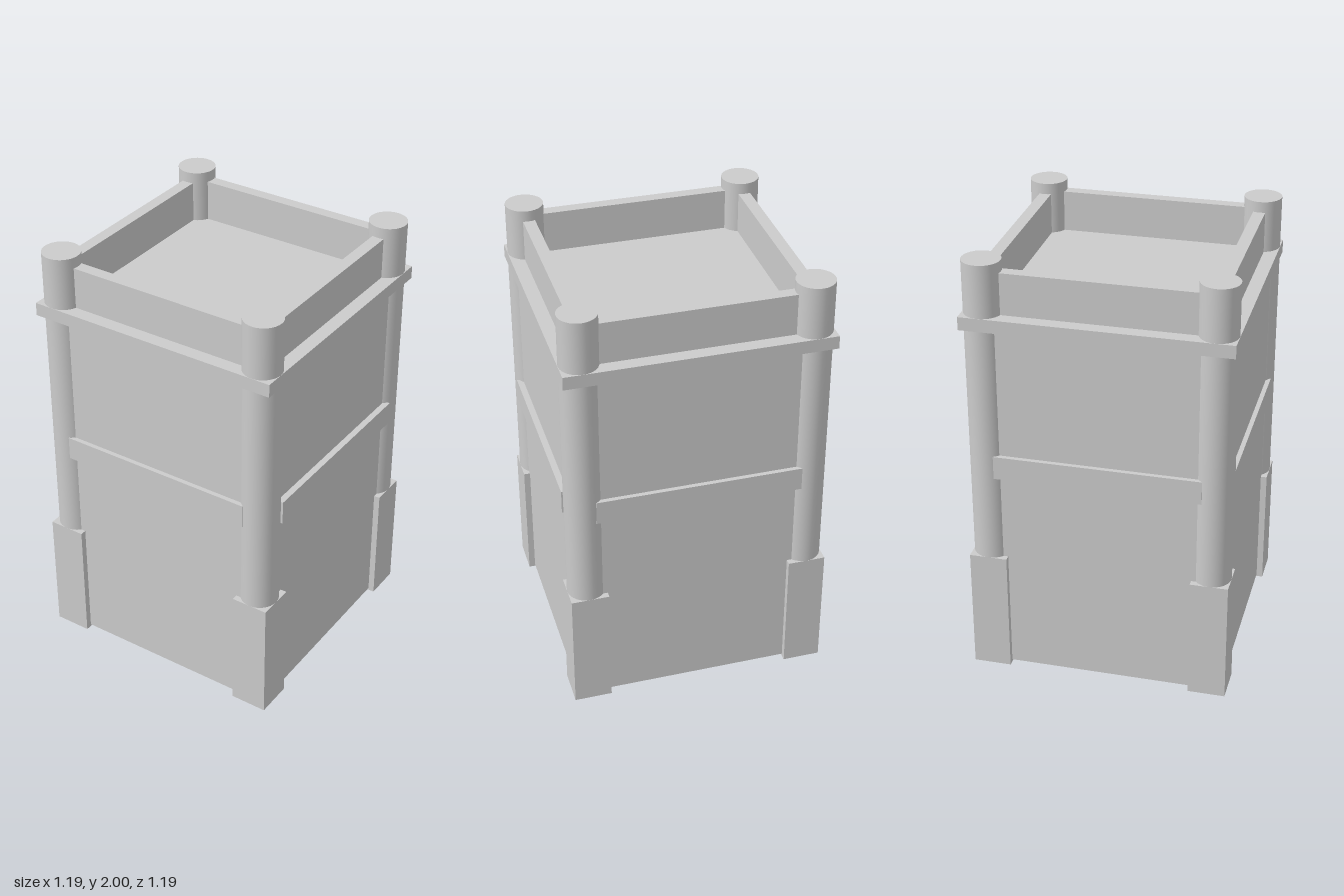
import * as THREE from 'three';

const POST = 0.508;      // post centre offset from the axis
const POST_RADIUS = 0.086;
const EDGE = 0.595;      // outermost extent

export function createModel() {
  const model = new THREE.Group();
  model.name = 'squareTower';
  const material = new THREE.MeshStandardMaterial({ color: 0xcccccc });

  const add = (name, geometry, parent = model) => {
    const mesh = new THREE.Mesh(geometry, material);
    mesh.name = name;
    parent.add(mesh);
    return mesh;
  };
  const box = (name, parent, x0, x1, y0, y1, z0, z1) => {
    const mesh = add(name, new THREE.BoxGeometry(x1 - x0, y1 - y0, z1 - z0), parent);
    mesh.position.set((x0 + x1) / 2, (y0 + y1) / 2, (z0 + z1) / 2);
    return mesh;
  };

  // Hollow body: a square tube, open at the bottom
  const square = (Path, r) =>
    new Path().moveTo(-r, -r).lineTo(r, -r).lineTo(r, r).lineTo(-r, r).closePath();
  const outline = square(THREE.Shape, 0.565);
  outline.holes.push(square(THREE.Path, 0.43));
  const tube = new THREE.ExtrudeGeometry(outline, { depth: 1.69, bevelEnabled: false });
  tube.rotateX(-Math.PI / 2);
  add('walls', tube).position.y = 0.01;

  // Platform slab whose rim forms the ledge
  box('platform', model, -EDGE, EDGE, 1.7, 1.76, -EDGE, EDGE);

  // Four sides: middle beam and parapet, turned about the axis
  for (const [i, side] of ['front', 'left', 'back', 'right'].entries()) {
    const group = new THREE.Group();
    group.name = side + 'Side';
    group.rotation.y = (i * Math.PI) / 2;
    model.add(group);
    const beamFace = side === 'left' ? 0.594 : 0.586;
    box('middleBeam', group, -0.468, 0.465, 0.99, 1.1, 0.5, beamFace);
    box('parapet', group, -0.46, 0.46, 1.76, 1.95, 0.477, 0.532);
  }

  // Corner posts standing in square footings
  for (const sx of [-1, 1]) {
    for (const sz of [-1, 1]) {
      const corner = new THREE.Group();
      corner.name = 'corner';
      corner.position.set(sx * POST, 0, sz * POST);
      model.add(corner);
      const post = add('post',
        new THREE.CylinderGeometry(POST_RADIUS, POST_RADIUS, 1.99, 32), corner);
      post.position.y = 1.005;
      box('footing', corner, -0.086, 0.086, 0, 0.58, -0.086, 0.086);
    }
  }

  return model;
}
